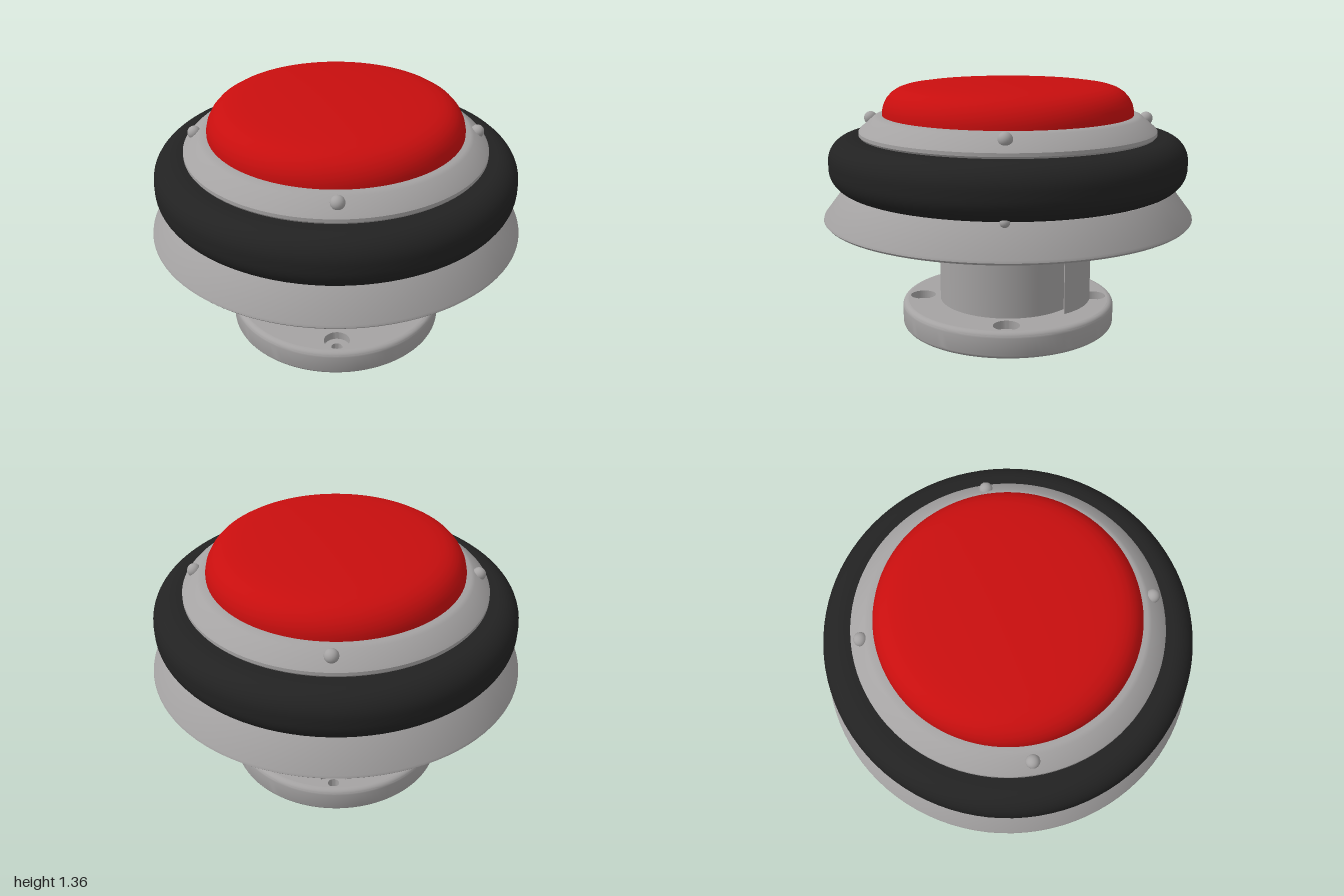
import * as THREE from 'three';
import { toCreasedNormals } from 'three/addons/utils/BufferGeometryUtils.js';

const material = (name, color) => {
  const m = new THREE.MeshStandardMaterial({ color });
  m.name = name;
  return m;
};

export function createModel() {
  const group = new THREE.Group();
  const grey = material('grey metal', 0xa5a3a3);
  const black = material('black rubber', 0x222222);
  const red = material('red plastic', 0xc80e0e);
  const copper = material('dull red plug', 0xa0524c);

  const add = (name, geometry, mat, x = 0, y = 0, z = 0) => {
    const mesh = new THREE.Mesh(geometry, mat);
    mesh.name = name;
    mesh.position.set(x, y, z);
    group.add(mesh);
    return mesh;
  };
  // Turned part: profile runs from the bottom, round the outside, to the top
  const turned = (name, profile, mat, crease = 0.45) => {
    const points = profile.map(([r, y]) => new THREE.Vector2(r, y));
    return add(name, toCreasedNormals(new THREE.LatheGeometry(points, 96), crease), mat);
  };
  // Quarter round in a profile, centred on (cx, cy)
  const arc = (cx, cy, r, from, to, n = 6) =>
    Array.from({ length: n + 1 }, (_, i) => {
      const a = from + ((to - from) * i) / n;
      return [cx + r * Math.cos(a), cy + r * Math.sin(a)];
    });
  // Flat shape standing from y0 to y1; the shape's y becomes -z
  const slab = (name, shape, y0, y1, mat) => {
    const g = new THREE.ExtrudeGeometry(shape, { depth: y1 - y0, bevelEnabled: false, curveSegments: 48 });
    g.rotateX(-Math.PI / 2);
    return add(name, toCreasedNormals(g, 0.45), mat, 0, y0, 0);
  };
  const H = Math.PI / 2;
  const quarters = [0, 1, 2, 3].map((i) => [Math.cos(i * H), Math.sin(i * H)]);

  // Base: rounded rim around a drilled, counterbored disc
  turned('baseRim', [...arc(0.56, 0.03, 0.03, -H, 0), ...arc(0.56, 0.115, 0.03, 0, H)], grey);
  const drilled = (holeRadius) => {
    const shape = new THREE.Shape().absarc(0, 0, 0.56, 0, Math.PI * 2);
    for (const [c, s] of quarters) {
      shape.holes.push(new THREE.Path().absarc(c * 0.48, s * 0.48, holeRadius, 0, Math.PI * 2, true));
    }
    return shape;
  };
  slab('baseLower', drilled(0.03), 0, 0.1, grey);
  slab('baseUpper', drilled(0.07), 0.1, 0.145, grey);

  // Column with a stepped cover on its back
  add('column', new THREE.CylinderGeometry(0.38, 0.38, 0.5, 96, 1, true), grey, 0, 0.385, 0);
  const cover = (name, cut, y0, y1) => {
    const a = Math.asin((cut - 0.08) / 0.38);
    slab(name, new THREE.Shape().absarc(0, 0.08, 0.38, a, Math.PI - a), y0, y1, grey);
  };
  cover('columnCoverLower', 0.305, 0.14, 0.48);
  cover('columnCoverUpper', 0.285, 0.48, 0.625);

  // Wide sloping flange
  turned('flange', [[0, 0.62], [0.975, 0.62], [0.99, 0.624], [1, 0.635], [0.997, 0.648],
    [0.885, 0.795], [0.7, 0.795]], grey);

  // Rubber bumper ring
  turned('bumper', [[0.7, 0.79], ...arc(0.845, 0.91, 0.12, -H, 0, 10),
    ...arc(0.845, 0.95, 0.12, 0, H, 10), [0.7, 1.07]], black);

  // Bezel around the button
  turned('bezel', [[0.76, 1.065], [0.793, 1.068], [0.802, 1.08], [0.802, 1.098], [0.79, 1.112],
    [0.72, 1.172], [0.7, 1.181], [0.66, 1.181]], grey);

  // Button dome
  turned('button', [[0.675, 1.17], [0.675, 1.2], [0.667, 1.235], [0.65, 1.268], [0.625, 1.296],
    [0.592, 1.317], [0.55, 1.331], [0.48, 1.341], [0.35, 1.351], [0.18, 1.358], [0, 1.36]], red, 1);

  // Round-headed screws on the bezel and at the sides of the flange
  for (const [c, s] of quarters) {
    add('bezelScrew', new THREE.SphereGeometry(0.036, 20, 14), grey, c * 0.745, 1.153, s * 0.745);
  }
  for (const side of [-1, 1]) {
    add('flangeScrew', new THREE.SphereGeometry(0.025, 16, 12), grey, side * 0.893, 0.797, 0);
  }

  // Plug under the back of the flange
  add('plugCollar', new THREE.CylinderGeometry(0.08, 0.08, 0.03, 32), copper, 0, 0.609, -0.65);
  add('plugStem', new THREE.CylinderGeometry(0.05, 0.05, 0.115, 32), copper, 0, 0.5425, -0.65);

  return group;
}
